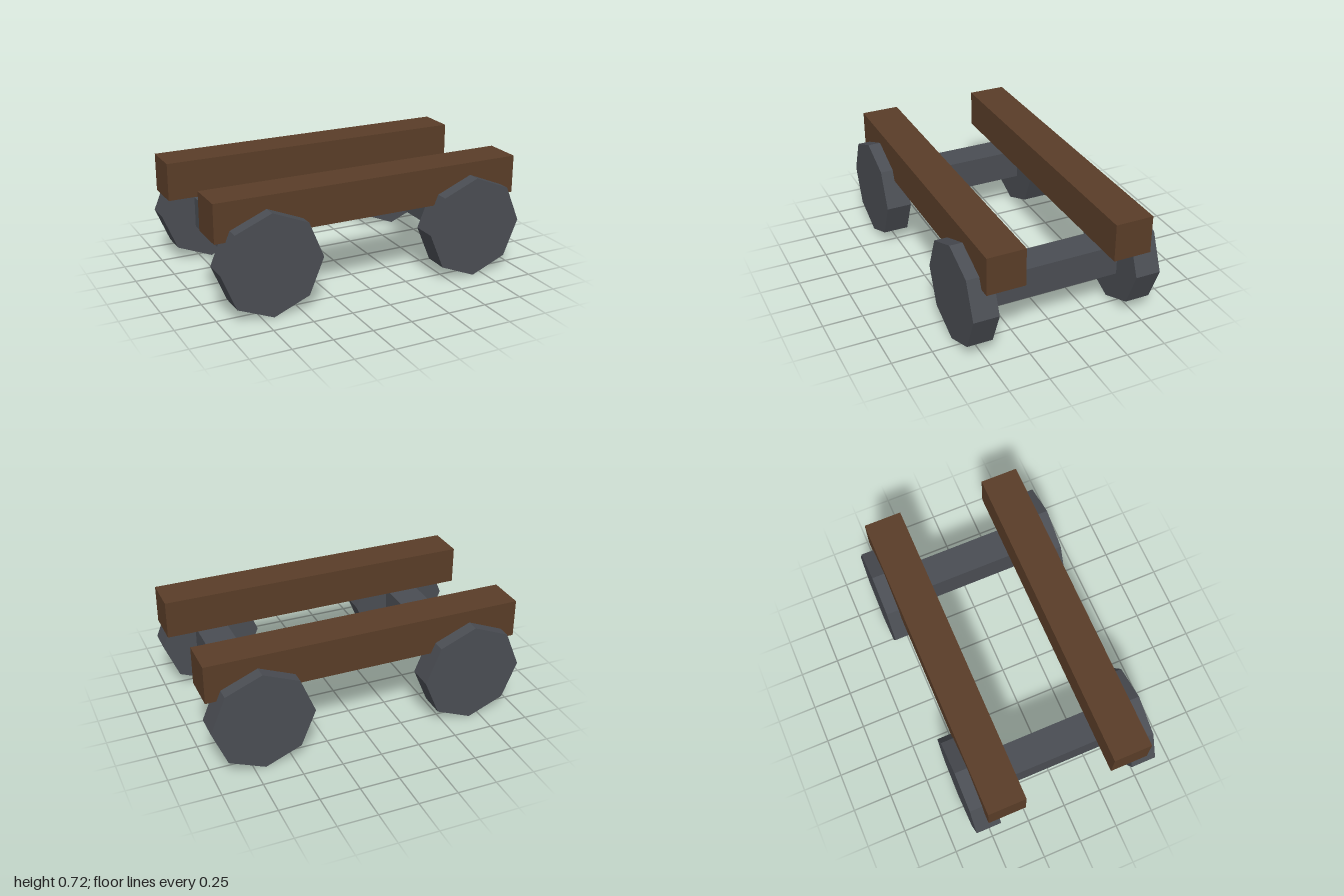
import * as THREE from 'three';

export function createModel() {
  const model = new THREE.Group();
  model.name = 'wheeledFrame';

  const wood = new THREE.MeshStandardMaterial({ color: 0x5a3d28, flatShading: true });
  const iron = new THREE.MeshStandardMaterial({ color: 0x4a4d53, flatShading: true });

  const beamGeometry = new THREE.BoxGeometry(2, 0.24, 0.24);
  const axleGeometry = new THREE.BoxGeometry(0.2, 0.2, 0.9);
  // Eight-sided wheel with its axis along z and a corner pointing down
  const wheelGeometry = new THREE.CylinderGeometry(0.32, 0.32, 0.16, 8).rotateX(Math.PI / 2);

  function add(name, geometry, material, x, y, z) {
    const mesh = new THREE.Mesh(geometry, material);
    mesh.name = name;
    mesh.position.set(x, y, z);
    model.add(mesh);
  }

  // Long timber rails at front and back
  for (const [end, side] of [['front', 1], ['back', -1]]) {
    add(`${end}Rail`, beamGeometry, wood, 0, 0.6, side * 0.4);
  }

  // One axle on each side, with a wheel at both ends
  for (const [hand, sx] of [['Left', 1], ['Right', -1]]) {
    add(`axle${hand}`, axleGeometry, iron, sx * 0.68, 0.32, 0);
    for (const [end, sz] of [['front', 1], ['back', -1]]) {
      add(`${end}Wheel${hand}`, wheelGeometry, iron, sx * 0.68, 0.32, sz * 0.52);
    }
  }

  return model;
}
